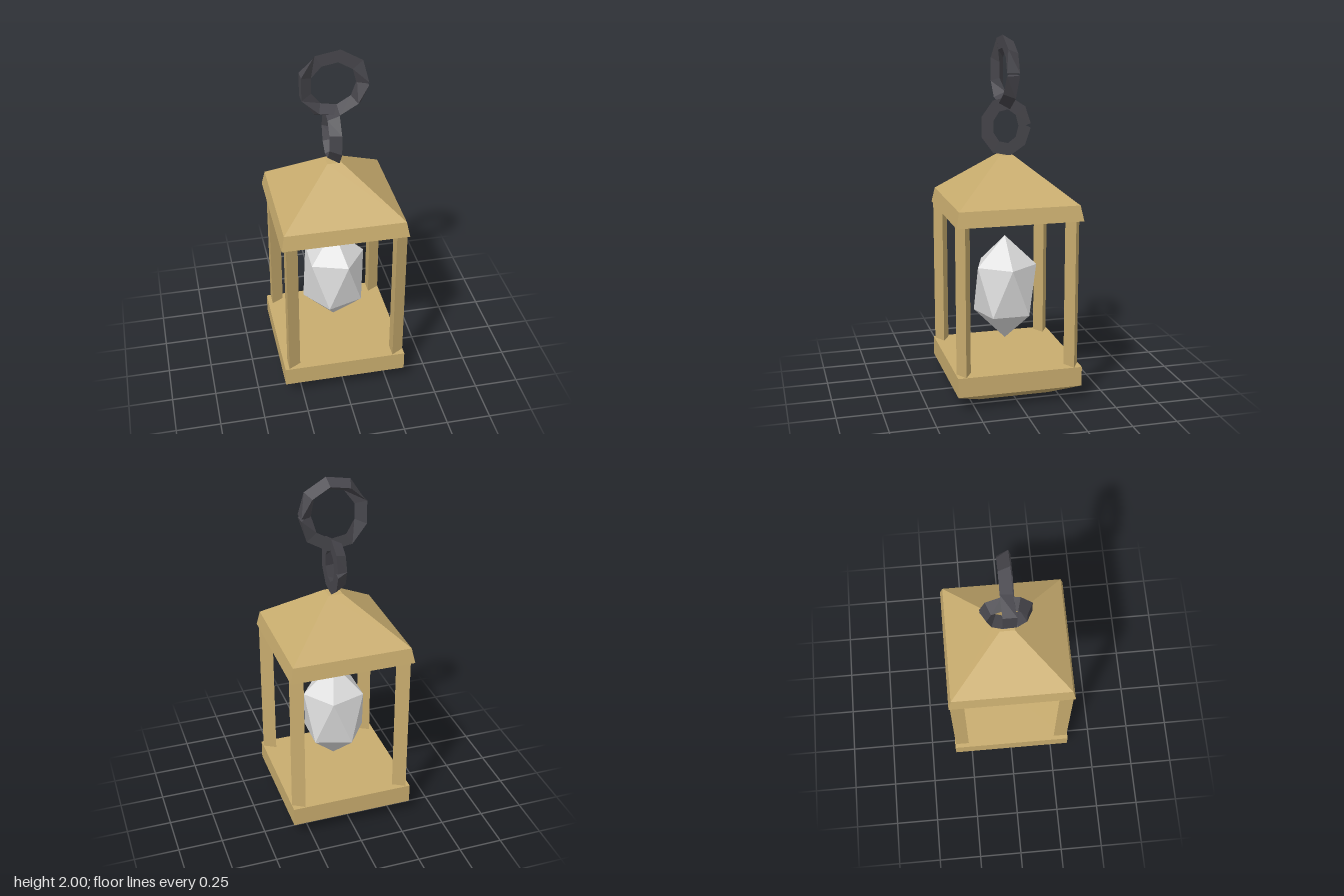
import * as THREE from 'three';

const wood = new THREE.MeshStandardMaterial({ color: 0xc8ac6e });
wood.name = 'tan wood';
const iron = new THREE.MeshStandardMaterial({ color: 0x47464c });
iron.name = 'dark iron';
const crystal = new THREE.MeshStandardMaterial({ color: 0xdcdcdc });
crystal.name = 'pale crystal';

const rad = THREE.MathUtils.degToRad;

// Horizontal polygon, counter-clockwise from above
function ring(sides, radius, y, startDeg = 0) {
  return Array.from({ length: sides }, (_, i) => {
    const a = rad(startDeg + (360 * i) / sides);
    return new THREE.Vector3(radius * Math.cos(a), y, -radius * Math.sin(a));
  });
}
const square = (half, y) => ring(4, half * Math.SQRT2, y, 45);

// Flat-faced skin through a list of equal-sized rings, with closed ends
function loft(rings) {
  const points = [];
  const tri = (a, b, c) => {
    const area = b.clone().sub(a).cross(c.clone().sub(a)).length();
    if (area > 1e-9) points.push(a, b, c);
  };
  const n = rings[0].length;
  for (let k = 0; k < rings.length - 1; k++) {
    const a = rings[k], b = rings[k + 1];
    for (let i = 0; i < n; i++) {
      const j = (i + 1) % n;
      tri(a[i], a[j], b[i]);
      tri(a[j], b[j], b[i]);
    }
  }
  const first = rings[0], last = rings[rings.length - 1];
  for (let i = 1; i < n - 1; i++) {
    tri(first[0], first[i + 1], first[i]);
    tri(last[0], last[i], last[i + 1]);
  }
  const geometry = new THREE.BufferGeometry().setFromPoints(points);
  geometry.computeVertexNormals();
  return geometry;
}

// Open nine-segment chain link with a three-sided section; turns = section angle at each joint
function link(rx, ry, thickness, turns) {
  const segments = turns.length - 1;
  const step = 360 / segments;
  return loft(turns.map((turn, k) => {
    const phi = rad(k * step);
    // End sections sit square to their segment, leaving a notch at the seam
    const tilt = k === 0 ? step / 2 : k === segments ? -step / 2 : 0;
    const e = phi + rad(tilt);
    return [0, 1, 2].map((i) => {
      const a = rad(turn - 120 * i);
      const out = thickness * Math.cos(a);
      return new THREE.Vector3(
        rx * Math.cos(phi) + out * Math.cos(e),
        ry * Math.sin(phi) + out * Math.sin(e),
        thickness * Math.sin(a)
      );
    });
  }));
}

export function createModel() {
  const model = new THREE.Group();
  model.name = 'lantern';
  const add = (name, geometry, material) => {
    const mesh = new THREE.Mesh(geometry, material);
    mesh.name = name;
    model.add(mesh);
    return mesh;
  };

  // Base with tapered foot
  add('base', loft([square(0.2, 0), square(0.35, 0.085), square(0.35, 0.195)]), wood);

  // Three-sided corner posts
  for (const x of [-0.303, 0.303]) {
    for (const z of [-0.305, 0.305]) {
      const post = add('cornerPost', loft([ring(3, 0.046, 0.19), ring(3, 0.046, 1.03)]), wood);
      post.position.set(x, 0, z);
    }
  }

  // Roof with sloped rim
  add('roof', loft([square(0.35, 1.025), square(0.333, 1.11), square(0.04, 1.345)]), wood);

  // Hanging crystal
  add('crystal', loft([
    ring(5, 0, 0.28), ring(5, 0.178, 0.445, 180), ring(5, 0.178, 0.72, 216), ring(5, 0, 0.885),
  ]), crystal);

  // Chain links
  const lower = add('lowerChainLink', link(0.109, 0.13, 0.041, Array(10).fill(-90)), iron);
  lower.rotation.y = Math.PI / 2;
  lower.position.y = 1.505;
  const upper = add('upperChainLink',
    link(0.165, 0.168, 0.041, [180, 150, 150, 150, 180, 180, 210, 210, 210, 180]), iron);
  upper.position.y = 1.8;

  return model;
}
